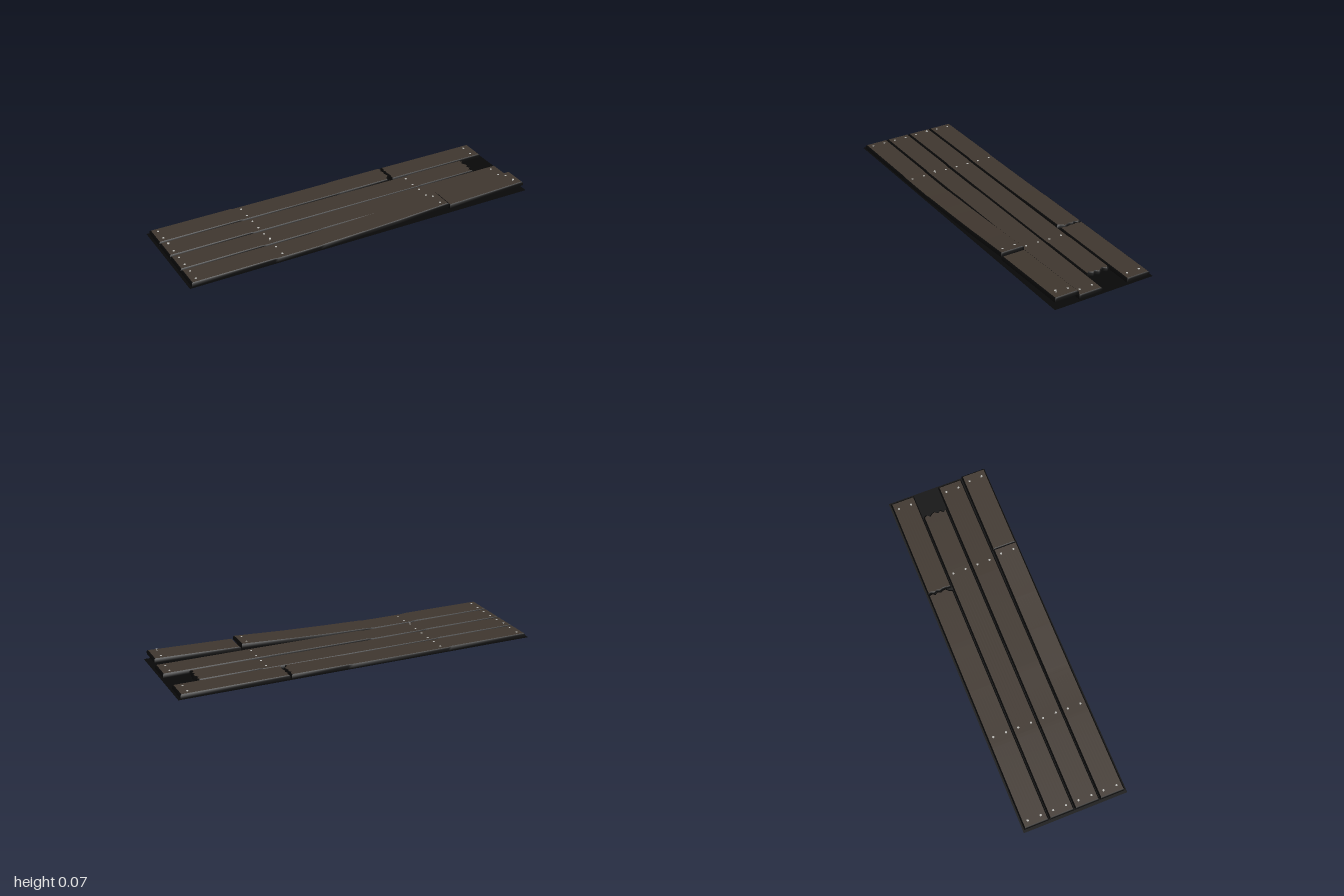
import * as THREE from 'three';

const THICK = 0.022, HALF = 0.068, BEVEL = 0.006;

// Linear interpolation through [x, y] points
function heightAt(points, x) {
  for (let i = 1; i < points.length; i++) {
    const [x0, y0] = points[i - 1], [x1, y1] = points[i];
    if (x <= x1) return y0 + (y1 - y0) * Math.max(0, (x - x0) / (x1 - x0));
  }
  return points[points.length - 1][1];
}

// Each plank: centre z, underside [x, y] points, optional ragged end offsets
const planks = [
  { name: 'backPlank', z: -0.211, under: [[-0.985, 0.003], [-0.53, 0.003], [-0.51, 0], [-0.2, 0], [0.05, 0.001], [0.08, 0.003], [0.395, 0.004]],
    endRag: [0, 0.004, -0.006, 0.003, -0.004, 0.002, 0.004, -0.012, -0.018] },
  { name: 'backPlankEnd', z: -0.211, under: [[0.402, 0.003], [0.985, 0.003]],
    startRag: [0, 0.004, -0.004, 0.003, -0.003, 0.002, 0.003, 0, 0] },
  { name: 'brokenPlank', z: -0.0705, under: [[-0.985, 0.003], [-0.53, 0.003], [-0.51, 0], [0.49, 0], [0.51, 0.003], [0.845, 0.003]],
    endRag: [-0.004, 0.006, -0.008, 0.004, 0.01, -0.004, 0.006, -0.01, 0.002] },
  { name: 'middlePlank', z: 0.0705, under: [[-0.985, 0.003], [-0.53, 0.003], [-0.51, 0], [-0.2, 0], [-0.17, 0.003], [0.4, 0.004], [0.985, 0.003]] },
  { name: 'raisedPlank', z: 0.211, under: [[-0.985, 0.003], [-0.53, 0.003], [-0.51, 0], [-0.27, 0], [-0.24, 0.003], [0, 0.01], [0.2, 0.018], [0.505, 0.034]] },
  { name: 'raisedPlankEnd', z: 0.211, under: [[0.51, 0.02], [0.985, 0.033]] },
];

// A box whose columns follow the underside points, with chamfered top edges
function plankGeometry({ z, under, startRag, endRag }) {
  const segs = under.length - 1, cols = 8;
  const geo = new THREE.BoxGeometry(1, 1, 1, segs, 2, cols);
  const p = geo.attributes.position;
  for (let i = 0; i < p.count; i++) {
    const station = Math.round((p.getX(i) + 0.5) * segs);
    const level = Math.round((p.getY(i) + 0.5) * 2);
    const col = Math.round((p.getZ(i) + 0.5) * cols);
    let [x, y] = under[station];
    const inset = level === 2 ? BEVEL : 0;
    if (station === 0) x += (startRag ? startRag[col] : 0) + inset;
    if (station === segs) x += (endRag ? endRag[col] : 0) - inset;
    p.setXYZ(i, x, y + [0, 0.75, 1][level] * THICK, z + p.getZ(i) * 2 * (HALF - inset));
  }
  geo.computeVertexNormals();
  return geo;
}

export function createModel() {
  const model = new THREE.Group();
  model.name = 'plankPanel';
  const mat = (name, color) => {
    const m = new THREE.MeshStandardMaterial({ color });
    m.name = name;
    return m;
  };
  const wood = mat('dark brown wood', 0x40372f);
  const edge = mat('blackened edge', 0x0b0b0b);
  const backingMat = mat('black backing', 0x080808);
  backingMat.side = THREE.DoubleSide;
  const steel = mat('nail steel', 0xb8b8b4);

  // Thin dark sheet under the planks
  const backing = new THREE.Mesh(new THREE.PlaneGeometry(2, 0.576).rotateX(-Math.PI / 2), backingMat);
  backing.position.y = 0.002;
  backing.name = 'backing';
  model.add(backing);

  // Planks: worn faces above and below, dark sides and ends
  for (const plank of planks) {
    const mesh = new THREE.Mesh(plankGeometry(plank), [edge, edge, wood, wood, edge, edge]);
    mesh.name = plank.name;
    model.add(mesh);
  }

  // Nails: a pair per plank in each row; a few have worked loose and bent
  const nails = new THREE.Group();
  nails.name = 'nails';
  const head = new THREE.CylinderGeometry(0.006, 0.006, 0.003, 8);
  const loose = { '-0.95,1,0': 0.006, '-0.475,2,1': 0.011, '0.94,3,1': 0.012 };
  const rowZ = [-0.211, -0.0705, 0.0705, 0.211];
  for (const x of [-0.95, -0.475, 0.467, 0.94]) {
    rowZ.forEach((cz, row) => {
      const plank = planks.find(q => q.z === cz && x >= q.under[0][0] && x <= q.under[q.under.length - 1][0]);
      if (!plank || (row === 0 && x === 0.467)) return;
      [-0.036, 0.036].forEach((dz, side) => {
        const top = heightAt(plank.under, x) + THICK;
        const lift = loose[`${x},${row},${side}`] || 0;
        const nail = new THREE.Mesh(head, steel);
        nail.name = 'nailHead';
        nail.position.set(x, top + lift, cz + dz);
        nails.add(nail);
        if (!lift) return;
        nail.rotation.x = 0.4;
        const shank = new THREE.CatmullRomCurve3([
          new THREE.Vector3(x, top - 0.004, cz + dz),
          new THREE.Vector3(x, top + lift * 0.4, cz + dz - 0.006),
          new THREE.Vector3(x, top + lift, cz + dz),
        ]);
        const stem = new THREE.Mesh(new THREE.TubeGeometry(shank, 8, 0.002, 6), steel);
        stem.name = 'bentNailShank';
        nails.add(stem);
      });
    });
  }
  model.add(nails);
  return model;
}
